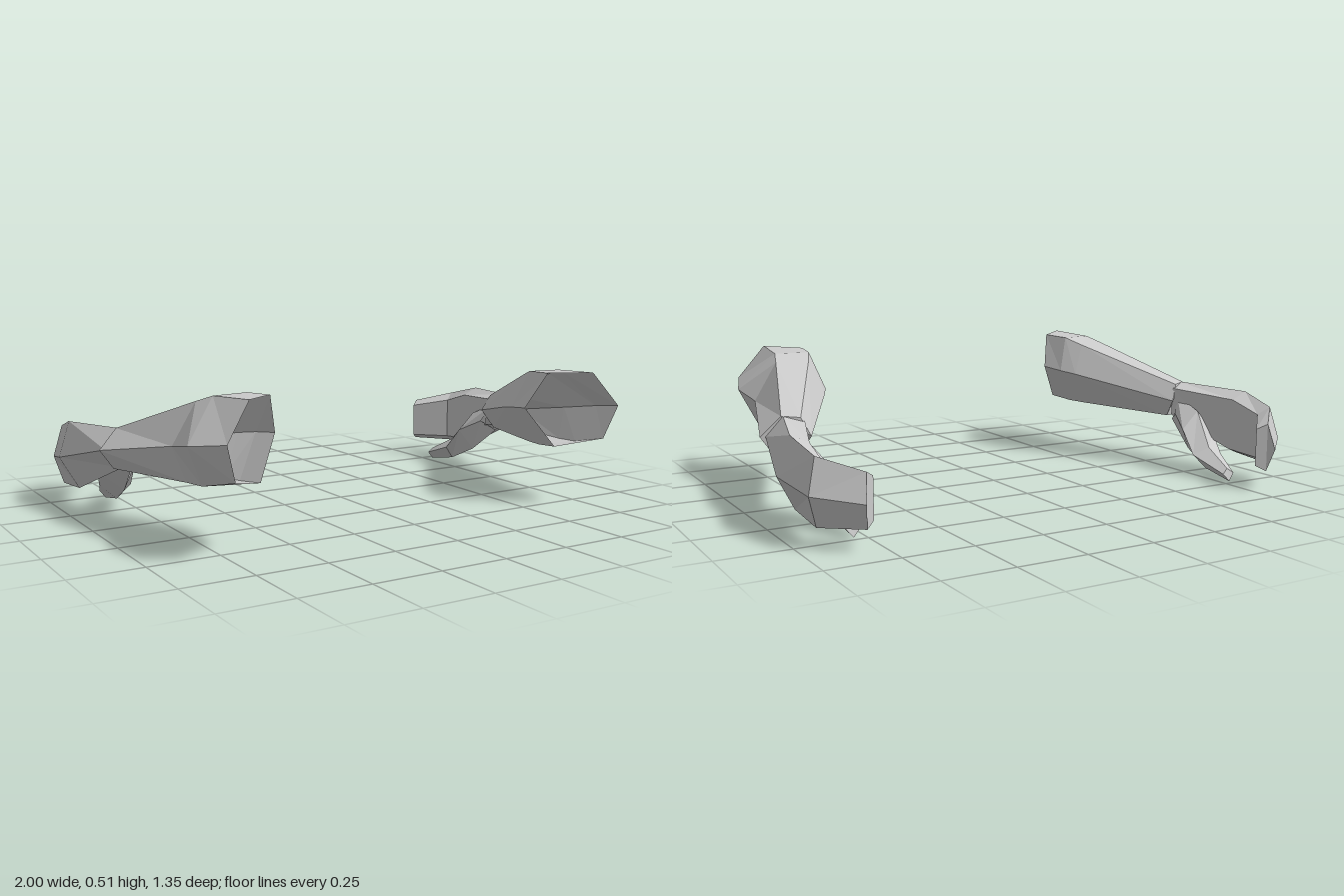
import * as THREE from 'three';

const material = new THREE.MeshStandardMaterial({ color: 0xcccccc, flatShading: true, side: THREE.DoubleSide });

// Skin a list of cross-section loops; side -1 mirrors the part in x
function loft(name, rings, side, capEnd) {
  const n = rings[0].length;
  const pos = [], index = [];
  for (const ring of rings) for (const [x, y, z] of ring) pos.push(x * side, y, z);
  const tri = (a, b, c) => (side > 0 ? index.push(a, b, c) : index.push(a, c, b));
  for (let i = 0; i < rings.length - 1; i++) {
    for (let j = 0; j < n; j++) {
      const a = i * n + j, b = i * n + ((j + 1) % n);
      tri(a, b, a + n);
      tri(b, b + n, a + n);
    }
  }
  if (capEnd) {
    const k = (rings.length - 1) * n;
    for (let j = 1; j < n - 1; j++) tri(k, k + j, k + j + 1);
  }
  const indexed = new THREE.BufferGeometry();
  indexed.setAttribute('position', new THREE.Float32BufferAttribute(pos, 3));
  indexed.setIndex(index);
  const geometry = indexed.toNonIndexed();
  geometry.computeVertexNormals();
  const mesh = new THREE.Mesh(geometry, material);
  mesh.name = name;
  return mesh;
}

// Six-sided forearm, open at the elbow: top, outer, two below, inner, inner top
const forearmRings = [
  [[0.705, 0.51, 0.63], [0.80, 0.385, 0.67], [0.76, 0.26, 0.64], [0.62, 0.225, 0.53], [0.53, 0.37, 0.46], [0.58, 0.505, 0.525]],
  [[0.73, 0.50, 0.42], [0.855, 0.36, 0.50], [0.79, 0.22, 0.46], [0.64, 0.215, 0.42], [0.55, 0.36, 0.36], [0.60, 0.50, 0.40]],
  [[0.754, 0.475, 0.34], [0.84, 0.335, 0.34], [0.80, 0.215, 0.36], [0.66, 0.213, 0.34], [0.58, 0.35, 0.29], [0.632, 0.473, 0.32]],
  [[0.88, 0.34, -0.07], [0.95, 0.27, -0.05], [0.90, 0.20, -0.05], [0.81, 0.20, -0.06], [0.79, 0.27, -0.12], [0.82, 0.335, -0.10]],
];

// Curved mitten hand: top, outer ridge, bottom, palm bottom, palm top
const handRings = [
  [[0.87, 0.34, -0.06], [0.93, 0.27, -0.05], [0.87, 0.20, -0.05], [0.80, 0.21, -0.10], [0.805, 0.32, -0.10]],
  [[0.955, 0.33, -0.37], [1.0, 0.20, -0.36], [0.935, 0.08, -0.34], [0.885, 0.10, -0.36], [0.89, 0.30, -0.37]],
  [[0.935, 0.29, -0.53], [0.965, 0.17, -0.55], [0.935, 0.065, -0.53], [0.895, 0.09, -0.505], [0.895, 0.26, -0.505]],
  [[0.815, 0.25, -0.645], [0.828, 0.155, -0.675], [0.815, 0.07, -0.645], [0.782, 0.09, -0.62], [0.782, 0.23, -0.62]],
];

// Thumb below the palm: top, outer, bottom, inner
const thumbRings = [
  [[0.83, 0.29, -0.10], [0.87, 0.23, -0.08], [0.83, 0.185, -0.07], [0.795, 0.22, -0.13]],
  [[0.83, 0.24, -0.23], [0.89, 0.15, -0.26], [0.81, 0.085, -0.20], [0.755, 0.17, -0.23]],
  [[0.80, 0.11, -0.34], [0.855, 0.08, -0.35], [0.795, 0.025, -0.33], [0.745, 0.08, -0.31]],
  [[0.785, 0.05, -0.465], [0.815, 0.03, -0.47], [0.79, 0.0, -0.475], [0.762, 0.03, -0.47]],
];

function arm(name, side) {
  const group = new THREE.Group();
  group.name = name;
  group.add(
    loft('forearm', forearmRings, side, true),
    loft('hand', handRings, side, true),
    loft('thumb', thumbRings, side, true),
  );
  return group;
}

export function createModel() {
  const model = new THREE.Group();
  model.name = 'arms';
  model.add(arm('leftArm', 1), arm('rightArm', -1));
  return model;
}
